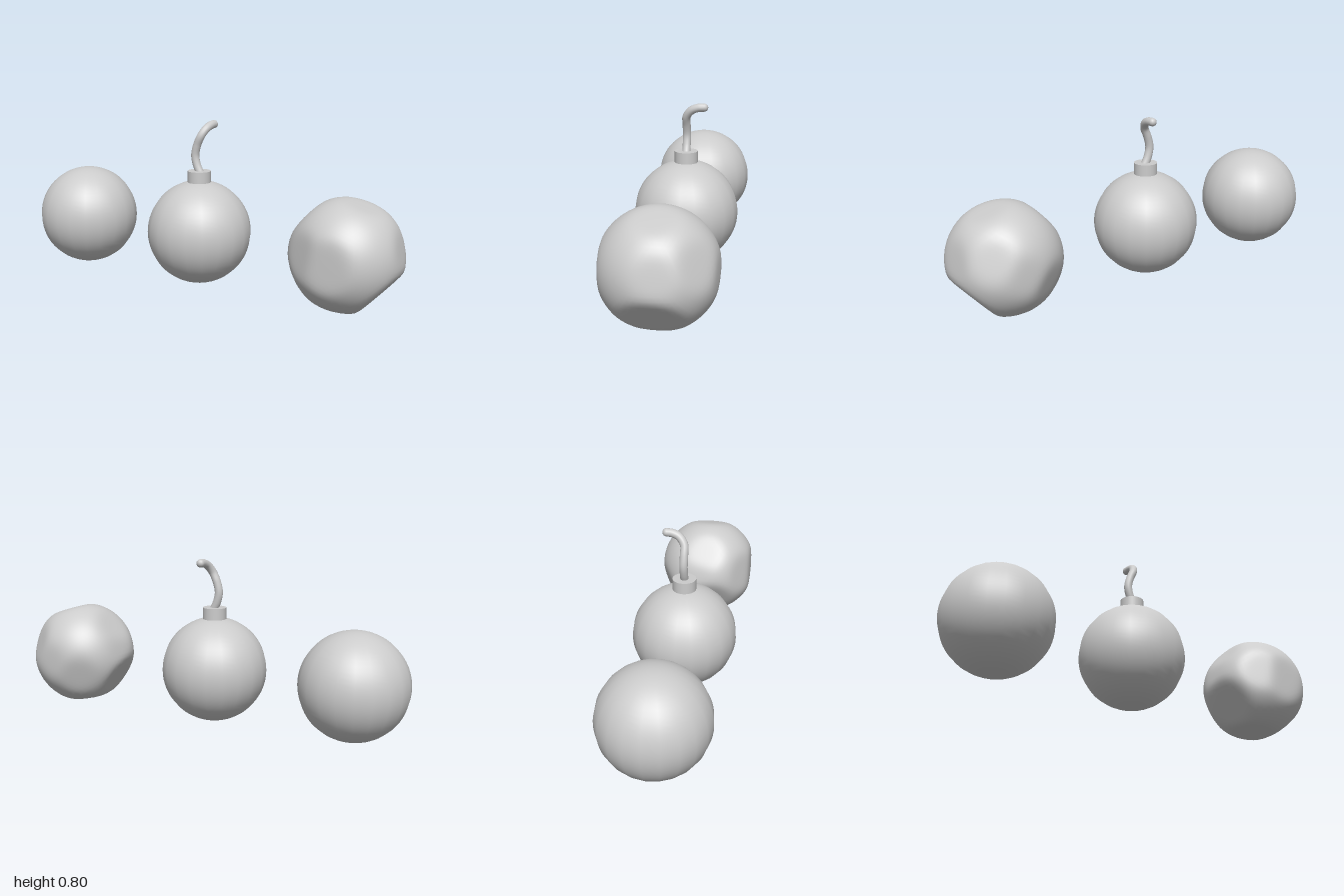
import * as THREE from 'three';
import { mergeVertices } from 'three/addons/utils/BufferGeometryUtils.js';

const R = 0.256;
const CY = 0.26;

// Sphere flattened softly by a few planes: [nx, ny, nz, distance from centre]
function dentedSphere(radius, planes, sharpness) {
  let geo = new THREE.IcosahedronGeometry(1, 12);
  geo.deleteAttribute('normal');
  geo.deleteAttribute('uv');
  geo = mergeVertices(geo, 1e-4);
  const cuts = planes.map(([x, y, z, h]) => ({ n: new THREE.Vector3(x, y, z).normalize(), h }));
  const pos = geo.attributes.position;
  const d = new THREE.Vector3();
  for (let i = 0; i < pos.count; i++) {
    d.fromBufferAttribute(pos, i).normalize();
    let sum = Math.pow(1 / radius, sharpness);
    for (const { n, h } of cuts) {
      sum += Math.pow(Math.max(d.dot(n), 0) / h, sharpness);
    }
    d.multiplyScalar(Math.pow(sum, -1 / sharpness));
    pos.setXYZ(i, d.x, d.y, d.z);
  }
  geo.computeVertexNormals();
  return geo;
}

export function createModel() {
  const group = new THREE.Group();
  const mat = new THREE.MeshStandardMaterial({ color: 0xcccccc });
  const add = (name, geo, x, y, z, parent = group) => {
    const mesh = new THREE.Mesh(geo, mat);
    mesh.name = name;
    mesh.position.set(x, y, z);
    parent.add(mesh);
    return mesh;
  };

  // Plain ball
  const ballGeo = new THREE.SphereGeometry(R, 20, 32);
  add('ball', ballGeo, -0.744, CY, 0);

  // Bomb: ball, collar and curved fuse
  const bomb = new THREE.Group();
  bomb.name = 'bomb';
  bomb.position.x = -0.033;
  group.add(bomb);
  add('bombBody', ballGeo, 0, CY, 0, bomb);
  add('collar', new THREE.CylinderGeometry(0.057, 0.057, 0.057, 32), 0, 0.5365, 0, bomb);

  const path = new THREE.CatmullRomCurve3([
    [0.012, 0.54, 0], [-0.014, 0.595, 0], [-0.023, 0.64, 0], [-0.012, 0.69, 0],
    [0.009, 0.737, -0.003], [0.023, 0.77, -0.028], [0.028, 0.784, -0.062], [0.028, 0.786, -0.09],
  ].map((p) => new THREE.Vector3(...p)));
  add('fuse', new THREE.TubeGeometry(path, 48, 0.02, 14), 0, 0, 0, bomb);
  add('fuseTip', new THREE.SphereGeometry(0.02, 14, 10), 0.028, 0.786, -0.09, bomb);

  // Lumpy rock with broad flattened sides
  const rockGeo = dentedSphere(0.262, [
    [-0.85, -0.5, 0.1, 0.228], [0.74, -0.67, 0, 0.224], [-0.77, 0.64, 0, 0.243],
    [-0.16, -0.98, 0, 0.238], [0.3, 0.95, 0, 0.245], [1, 0.2, -0.1, 0.248],
    [-1, 0.25, -0.1, 0.253], [0, 0, 1, 0.237], [0.1, 0, -1, 0.252],
    [-0.5, 0.1, 0.85, 0.24], [0.6, 0.3, -0.75, 0.245], [-0.45, -0.3, -0.85, 0.245],
  ], 40);
  add('rock', rockGeo, 0.75, CY, 0);

  return group;
}
